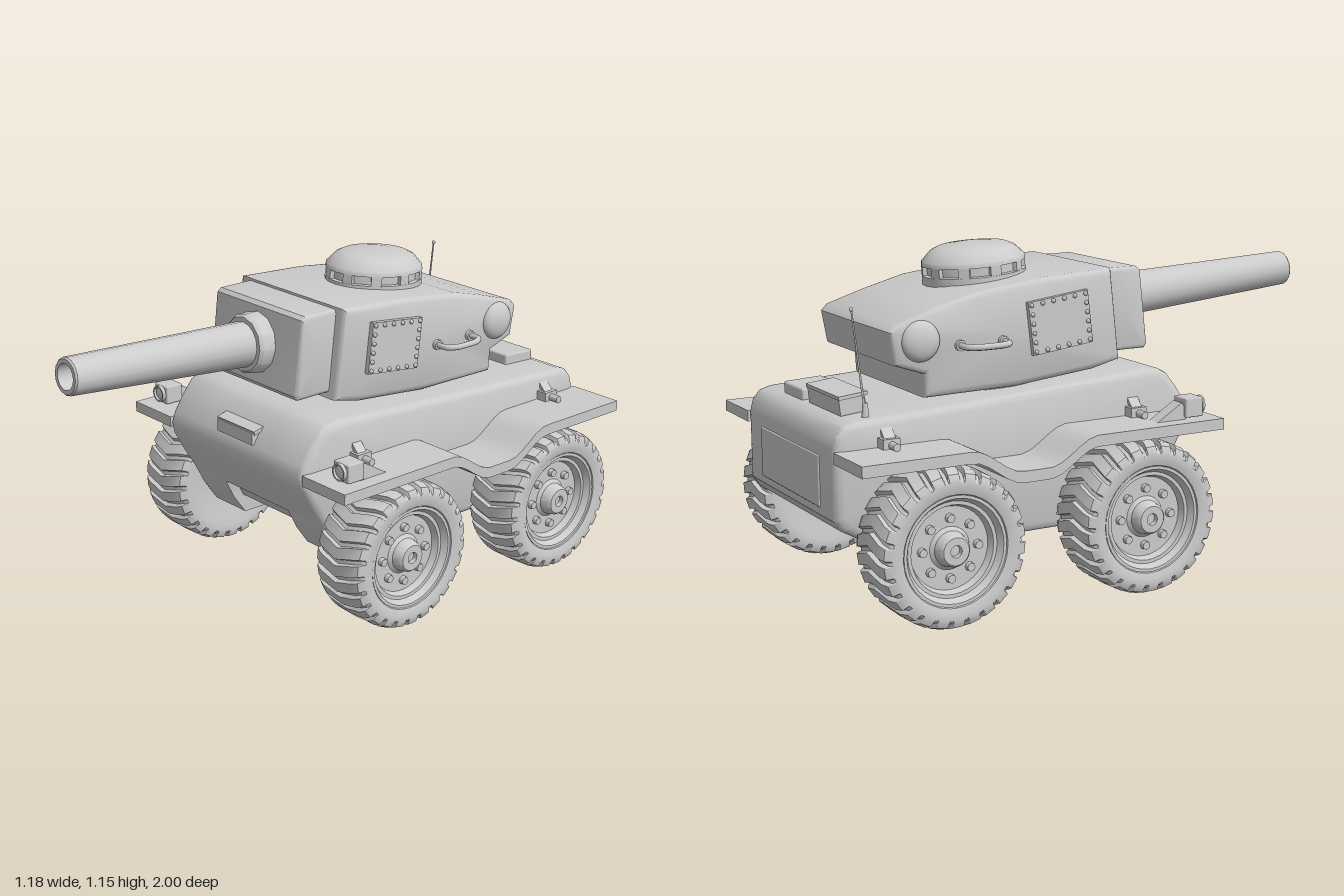
import * as THREE from 'three';
import { toCreasedNormals } from 'three/addons/utils/BufferGeometryUtils.js';
import { RoundedBoxGeometry } from 'three/addons/geometries/RoundedBoxGeometry.js';

const material = new THREE.MeshStandardMaterial({ color: 0xcccccc });

function add(parent, name, geometry, x = 0, y = 0, z = 0, rx = 0, ry = 0, rz = 0) {
  const mesh = new THREE.Mesh(geometry, material);
  mesh.name = name;
  mesh.position.set(x, y, z);
  mesh.rotation.set(rx, ry, rz);
  parent.add(mesh);
  return mesh;
}

// Skin closed rings of [x, y, z] points that run front, top, back, bottom; cap both ends
function loft(rings, crease = 0.6) {
  const pos = [];
  const n = rings[0].length;
  const tri = (...pts) => pts.forEach((p) => pos.push(...p));
  const middle = (ring) => [0, 1, 2].map((k) => {
    const v = ring.map((p) => p[k]);
    return (Math.min(...v) + Math.max(...v)) / 2;
  });
  const last = rings[rings.length - 1];
  const c0 = middle(rings[0]), c1 = middle(last);
  for (let j = 0; j < n; j++) {
    const k = (j + 1) % n;
    for (let i = 0; i < rings.length - 1; i++) {
      const a = rings[i][j], b = rings[i][k], c = rings[i + 1][k], d = rings[i + 1][j];
      tri(a, d, c);
      tri(a, c, b);
    }
    tri(c0, rings[0][j], rings[0][k]);
    tri(c1, last[k], last[j]);
  }
  const g = new THREE.BufferGeometry();
  g.setAttribute('position', new THREE.Float32BufferAttribute(pos, 3));
  return toCreasedNormals(g, crease);
}

// Side profile of [z, y] points repeated at stations of [x, inset]
function sideLoft(profile, stations, adjust = (p) => p) {
  const range = (k) => {
    const v = profile.map((p) => p[k]);
    return [(Math.max(...v) + Math.min(...v)) / 2, (Math.max(...v) - Math.min(...v)) / 2];
  };
  const [cz, hz] = range(0), [cy, hy] = range(1);
  return loft(stations.map(([x, d]) => profile.map(([z, y]) =>
    adjust([x, cy + (y - cy) * (1 - d / hy), cz + (z - cz) * (1 - d / hz)]))));
}

// Stations giving rounded edges at x = -w and x = w
function rounded(w, r, inner = []) {
  const edge = [[w - r, 0], [w - 0.6 * r, 0.08 * r], [w - 0.25 * r, 0.35 * r], [w, r]];
  return [...edge.map(([x, d]) => [-x, d]).reverse(), ...inner, ...edge];
}

// Side profile of [z, y] points extruded across x
function sideExtrude(points, width) {
  const shape = new THREE.Shape(points.map(([z, y]) => new THREE.Vector2(z, y)));
  const g = new THREE.ExtrudeGeometry(shape, { depth: width, bevelEnabled: false });
  return toCreasedNormals(g.translate(0, 0, -width / 2).rotateY(-Math.PI / 2), 0.5);
}

const lathe = (points, segments) =>
  toCreasedNormals(new THREE.LatheGeometry(points.map((p) => new THREE.Vector2(...p)), segments), 0.6);

// Tyre with chevron lugs; dir sets which way the chevrons point
function tyreGeometry(dir) {
  const lugs = 26, phases = [[0, 1], [0.07, 0], [0.7, 0], [0.78, 1]];
  const profile = [[-0.1, 0.165, 0], [-0.11, 0.2, 0], [-0.109, 0.228, 0.4], [-0.1, 0.248, 1], [-0.075, 0.258, 1],
    [0, 0.26, 1], [0.075, 0.258, 1], [0.1, 0.248, 1], [0.109, 0.228, 0.4], [0.11, 0.205, 0],
    [0.103, 0.183, 0], [0.085, 0.174, 0], [0.03, 0.168, 0]];
  return loft(profile.map(([x, r, groove]) => {
    const ring = [];
    const wave = -dir * 0.11 * Math.max(0, 1 - Math.abs(x) / 0.1);
    for (let i = 0; i < lugs; i++) {
      for (const [phase, low] of phases) {
        const a = (2 * Math.PI * (i + phase)) / lugs + wave;
        const rr = r - 0.015 * groove * low;
        ring.push([x, rr * Math.sin(a), rr * Math.cos(a)]);
      }
    }
    return ring;
  }), 0.5);
}

function wheel(dir) {
  const g = new THREE.Group();
  add(g, 'tyre', tyreGeometry(dir));
  const rim = [[0.176, 0.06], [0.18, 0.1], [0.17, 0.1], [0.157, 0.078], [0.145, 0.078], [0.136, 0.055], [0.07, 0.055],
    [0.058, 0.065], [0.052, 0.095], [0.045, 0.103], [0.02, 0.103], [0.018, 0.088], [0, 0.088]];
  add(g, 'rim', lathe(rim, 36), 0, 0, 0, 0, 0, -Math.PI / 2);
  for (let i = 0; i < 8; i++) {
    const a = (i * Math.PI) / 4;
    add(g, 'wheelBolt', new THREE.CylinderGeometry(0.014, 0.016, 0.022, 8),
      0.06, 0.098 * Math.sin(a), 0.098 * Math.cos(a), 0, 0, -Math.PI / 2);
  }
  return g;
}

export function createModel() {
  const model = new THREE.Group();
  model.name = 'armouredCar';

  // Hull with a raised channel along the belly
  const hullProfile = [[0.17, 0.717], [0.22, 0.712], [0.25, 0.695], [0.29, 0.645], [0.325, 0.59], [0.338, 0.55], [0.33, 0.51],
    [0.28, 0.42], [0.236, 0.352], [0.235, 0.348], [0.2, 0.28], [0.15, 0.21], [-0.8, 0.21], [-0.97, 0.305], [-0.995, 0.34],
    [-0.995, 0.57], [-0.985, 0.61], [-0.96, 0.64], [-0.92, 0.652], [-0.5, 0.675]].reverse();
  const channel = ([x, y, z]) => (Math.abs(x) < 0.171 && y < 0.35
    ? [x, Math.max(y, 0.25), z > 0 ? z - 0.04 : z] : [x, y, z]);
  add(model, 'hull', sideLoft(hullProfile.reverse().slice().reverse(),
    rounded(0.366, 0.03, [[-0.172, 0], [-0.17, 0], [0.17, 0], [0.172, 0]]), channel));
  add(model, 'rearPanel', new RoundedBoxGeometry(0.48, 0.17, 0.016, 1, 0.004), 0, 0.45, -0.992);
  add(model, 'visorBox', new THREE.BoxGeometry(0.19, 0.045, 0.06), 0, 0.615, 0.3);
  add(model, 'visorHood', new THREE.BoxGeometry(0.2, 0.014, 0.08), 0, 0.645, 0.285, 0.25);

  // Fenders dip between the wheels
  const step = (a, b, z) => THREE.MathUtils.smoothstep(z, a, b);
  const top = [];
  for (let i = 0; i <= 40; i++) {
    const z = 0.335 - (i * 1.333) / 40;
    top.push([z, 0.567 - 0.085 * step(-0.62, -0.44, z) * (1 - step(-0.34, -0.16, z))]);
  }
  const under = top.map(([z, y]) => [z, y - 0.038]).reverse();

  for (const s of [1, -1]) {
    add(model, 'fender', sideExtrude([...top, ...under], 0.21), s * 0.465);

    // Headlight in a hooded housing
    add(model, 'headlightHousing', sideExtrude([[0.1, 0.565], [0.215, 0.565], [0.215, 0.605], [0.2, 0.625]], 0.05), s * 0.49);
    add(model, 'headlightBox', new RoundedBoxGeometry(0.074, 0.066, 0.07, 1, 0.005), s * 0.49, 0.606, 0.245);
    add(model, 'headlightLens', lathe([[0.03, 0], [0.03, 0.014], [0.024, 0.014], [0.022, 0.006], [0, 0.012]], 20),
      s * 0.49, 0.608, 0.279, Math.PI / 2);

    // Fender brackets
    for (const z of [0.1, -0.82]) {
      const y = 0.567;
      add(model, 'fenderBracket', new THREE.BoxGeometry(0.045, 0.035, 0.06), s * 0.385, y + 0.015, z);
      add(model, 'bracketBrace', new THREE.BoxGeometry(0.05, 0.012, 0.04), s * 0.378, y + 0.04, z, 0, 0, -s * 0.8);
      add(model, 'bracketPin', new THREE.CylinderGeometry(0.013, 0.013, 0.05, 10), s * 0.42, y + 0.012, z, 0, 0, Math.PI / 2);
    }

    // Wheels
    for (const z of [0.04, -0.69]) {
      const w = wheel(s);
      w.name = z > 0 ? 'frontWheel' : 'rearWheel';
      w.position.set(s * 0.482, 0.26, z);
      w.rotation.y = s > 0 ? 0 : Math.PI;
      model.add(w);
    }
  }
  for (const z of [0.04, -0.69]) {
    add(model, 'axle', new THREE.CylinderGeometry(0.04, 0.04, 0.8, 16), 0, 0.26, z, 0, 0, Math.PI / 2);
  }

  // Rear deck boxes and aerial
  add(model, 'stowageBox', new THREE.BoxGeometry(0.25, 0.055, 0.09), -0.125, 0.685, -0.88, -0.1);
  add(model, 'stowageLid', new THREE.BoxGeometry(0.26, 0.012, 0.1), -0.125, 0.716, -0.88, -0.1);
  add(model, 'deckHatch', new RoundedBoxGeometry(0.16, 0.05, 0.14, 1, 0.008), 0.13, 0.668, -0.855, -0.05);
  add(model, 'aerialBase', new THREE.CylinderGeometry(0.008, 0.014, 0.06, 10), -0.3, 0.67, -0.86);
  add(model, 'aerial', new THREE.CylinderGeometry(0.003, 0.004, 0.34, 6), -0.3, 0.83, -0.88, -0.12);
  add(model, 'aerialTip', new THREE.SphereGeometry(0.007, 8, 6), -0.3, 1.0, -0.901);

  // Turret
  const turret = new THREE.Group();
  turret.name = 'turret';
  turret.position.x = -0.005;
  model.add(turret);
  const body = [[0.07, 1.06], [-0.2, 1.045], [-0.45, 1.015], [-0.6, 0.975], [-0.74, 0.932], [-0.762, 0.91], [-0.742, 0.8],
    [-0.64, 0.765], [-0.635, 0.685], [-0.3, 0.69], [0, 0.72], [0.105, 0.745]];
  add(turret, 'turretBody', sideLoft(body, rounded(0.28, 0.025)));
  add(turret, 'turretRing', new THREE.CylinderGeometry(0.25, 0.25, 0.08, 32), 0, 0.69, -0.3);
  const shield = [[0.2, 1.052], [0.05, 1.052], [0.05, 0.765], [0.235, 0.765], [0.245, 0.78], [0.215, 1.04]];
  add(turret, 'gunShield', sideLoft(shield, rounded(0.232, 0.014)));

  // Gun, raised slightly
  const gun = new THREE.Group();
  gun.name = 'gun';
  gun.position.set(0, 0.915, 0.22);
  gun.rotation.x = -0.067;
  turret.add(gun);
  add(gun, 'gunCollar', lathe([[0.108, -0.02], [0.104, 0.055], [0.095, 0.068], [0.07, 0.068]], 12), 0, 0, 0, Math.PI / 2);
  add(gun, 'barrel', lathe([[0.08, 0], [0.063, 0.772], [0.058, 0.778], [0.044, 0.778], [0.042, 0.6], [0, 0.6]], 16),
    0, 0, 0, Math.PI / 2);

  // Cupola with viewing slits around its base
  const cupola = new THREE.Group();
  cupola.name = 'cupola';
  cupola.position.set(0, 1.035, -0.31);
  cupola.rotation.x = -0.07;
  cupola.scale.z = 1.12;
  turret.add(cupola);
  add(cupola, 'cupolaBase', lathe([[0.162, -0.03], [0.162, 0.012], [0.148, 0.014], [0.148, 0.042], [0.162, 0.044], [0.16, 0.058],
    [0.132, 0.09], [0.11, 0.101], [0.06, 0.108], [0, 0.11]], 24));
  for (let i = 0; i < 10; i++) {
    const a = ((i + 0.5) * Math.PI) / 5;
    add(cupola, 'slitPost', new THREE.BoxGeometry(0.035, 0.034, 0.02), 0.15 * Math.sin(a), 0.028, 0.15 * Math.cos(a), 0, a);
  }

  // Turret sides: riveted plate, grab handle, rear boss
  for (const s of [1, -1]) {
    const plate = new THREE.Group();
    plate.name = 'sidePlate';
    plate.position.set(s * 0.285, 0.895, -0.143);
    plate.rotation.x = -0.12;
    turret.add(plate);
    add(plate, 'plate', new THREE.BoxGeometry(0.024, 0.18, 0.23));
    for (let i = 0; i < 6; i++) {
      for (const e of [-1, 1]) {
        const t = i / 5 - 0.5;
        const spots = [[e * 0.079, t * 0.208]];
        if (i > 0 && i < 5) spots.push([t * 0.158, e * 0.104]);
        for (const [y, z] of spots) add(plate, 'rivet', new THREE.SphereGeometry(0.008, 8, 6), s * 0.013, y, z);
      }
    }
    const path = [[0.27, -0.355], [0.33, -0.358], [0.35, -0.39], [0.353, -0.435], [0.35, -0.48], [0.33, -0.512], [0.27, -0.515]];
    const curve = new THREE.CatmullRomCurve3(path.map(([x, z]) => new THREE.Vector3(s * x, 0.85, z)));
    add(turret, 'grabHandle', new THREE.TubeGeometry(curve, 24, 0.011, 8));
    for (const z of [-0.355, -0.515]) {
      add(turret, 'handleMount', new THREE.CylinderGeometry(0.018, 0.018, 0.016, 12), s * 0.286, 0.85, z, 0, 0, Math.PI / 2);
    }
    add(turret, 'rearBoss', new THREE.SphereGeometry(0.068, 20, 14), s * 0.278, 0.875, -0.655).scale.x = 0.5;
  }
  return model;
}
